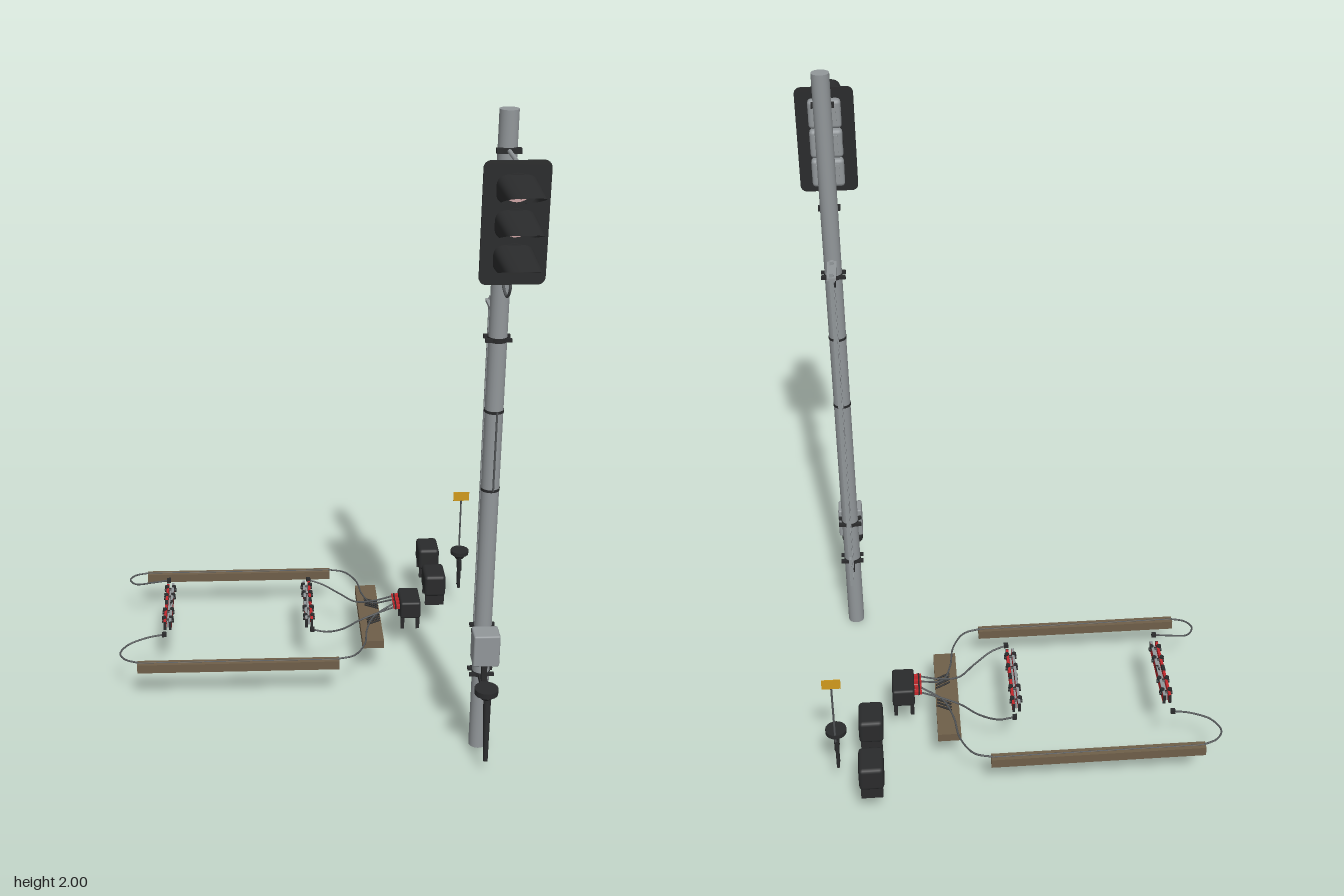
import * as THREE from 'three';
import { RoundedBoxGeometry } from 'three/addons/geometries/RoundedBoxGeometry.js';

const mat = (name, color, extra = {}) => new THREE.MeshStandardMaterial({ name, color, ...extra });
const steel = mat('galvanised steel', 0x92979a);
const dark = mat('dark steel', 0x2a2b2c);
const darkOpen = mat('dark sheet', 0x2a2b2c, { side: THREE.DoubleSide });
const rubber = mat('cable rubber', 0x515456);
const wood = mat('brown timber', 0x6f5f49);
const red = mat('sensor red', 0xc4282c);
const pink = mat('lens pink', 0xcfa5a5);
const yellow = mat('sign yellow', 0xd19a1c);

const V = (p) => new THREE.Vector3(...p);

export function createModel() {
  const root = new THREE.Group();
  const add = (name, geo, m, p = [0, 0, 0], parent = root) => {
    const mesh = new THREE.Mesh(geo, m);
    mesh.name = name;
    mesh.position.set(...p);
    parent.add(mesh);
    return mesh;
  };
  const box = (name, m, size, p, parent) => add(name, new THREE.BoxGeometry(...size), m, p, parent);
  const cyl = (name, m, r, h, p, parent, r2 = r) => add(name, new THREE.CylinderGeometry(r, r2, h, 20), m, p, parent);
  const tube = (name, m, pts, r, seg = 28) =>
    add(name, new THREE.TubeGeometry(new THREE.CatmullRomCurve3(pts.map(V)), seg, r, 8), m);
  // Straight round bar between two points, r at a and r2 at b
  const rod = (name, m, a, b, r, r2 = r) => {
    const d = V(b).sub(V(a));
    const mesh = cyl(name, m, r2, d.length(), V(a).add(V(b)).multiplyScalar(0.5).toArray(), root, r);
    mesh.quaternion.setFromUnitVectors(new THREE.Vector3(0, 1, 0), d.normalize());
    return mesh;
  };
  const PX = 0.524, PZ = 0.306;

  // Pole and its clamp bands
  cyl('pole', steel, 0.027, 2, [PX, 1, PZ]);
  for (const [y, h] of [[1.355, 0.014], [1.137, 0.008], [0.89, 0.008], [0.42, 0.014], [0.265, 0.014]]) {
    cyl('clampBand', dark, 0.0285, h, [PX, y, PZ]);
    if (h > 0.01) {
      box('clampBolt', dark, [0.076, 0.01, 0.014], [PX, y, PZ - 0.018]);
      box('clampBolt', dark, [0.076, 0.01, 0.01], [PX, y, PZ + 0.018]);
    }
  }
  rod('poleCable', rubber, [PX + 0.005, 0.89, PZ + 0.0265], [PX + 0.005, 1.14, PZ + 0.0265], 0.003);

  // Signal backboard with rounded corners
  const w = 0.089, h = 0.167, r = 0.02;
  const s = new THREE.Shape();
  s.absarc(w - r, h - r, r, 0, Math.PI / 2);
  s.absarc(r - w, h - r, r, Math.PI / 2, Math.PI);
  s.absarc(r - w, r - h, r, Math.PI, Math.PI * 1.5);
  s.absarc(w - r, r - h, r, Math.PI * 1.5, Math.PI * 2);
  add('backboard', new THREE.ExtrudeGeometry(s, { depth: 0.006, bevelEnabled: false }), dark, [PX + 0.001, 1.733, 0.468]);

  // Signal units: housing behind, lens and slanted hood in front
  for (const y of [1.825, 1.731, 1.637]) {
    const unit = new THREE.Group();
    unit.name = 'signalUnit';
    unit.position.set(PX + 0.001, y, 0.474);
    root.add(unit);
    add('housing', new RoundedBoxGeometry(0.1, 0.09, 0.036, 2, 0.012), steel, [0, 0, -0.024], unit);
    box('housingDoor', steel, [0.07, 0.06, 0.01], [0, 0, -0.043], unit);
    for (const sx of [-1, 1]) box('latch', dark, [0.006, 0.014, 0.012], [sx * 0.05, 0, -0.026], unit);
    cyl('lensRim', dark, 0.043, 0.006, [0, 0, 0.003], unit).rotation.x = Math.PI / 2;
    // Slightly flattened lens face with a ring of dots
    const face = new THREE.Group();
    face.name = 'lensFace';
    face.scale.y = 0.87;
    unit.add(face);
    const disc = (name, m, radius, x, yy, z) => {
      cyl(name, m, radius, 0.005, [x, yy, z], face).rotation.x = Math.PI / 2;
    };
    disc('lens', pink, 0.038, 0, 0, 0.006);
    for (let i = 0; i < 8; i++) {
      const a = ((i + 0.5) / 8) * Math.PI * 2;
      disc('lensDot', dark, 0.0048, Math.cos(a) * 0.026, Math.sin(a) * 0.026, 0.007);
    }
    disc('lensRing', dark, 0.013, 0, 0, 0.007);
    disc('lensCentre', pink, 0.009, 0, 0, 0.008);
    add('hood', hoodGeometry(), darkOpen, [0, 0, 0], unit);
  }

  // Head brackets and supply cable
  for (const y of [1.893, 1.568]) {
    rod('headBracket', steel, [PX, y, PZ + 0.02], [PX, y, 0.445], 0.006);
    rod('bracketDrop', steel, [PX, y, 0.443], [PX, y + (y > 1.7 ? -0.04 : 0.04), 0.443], 0.005);
    box('bracketClamp', dark, [0.068, 0.014, 0.018], [PX, y, PZ + 0.026]);
  }
  tube('headCable', rubber, [[PX, 1.6, 0.455], [PX, 1.55, 0.46], [PX, 1.515, 0.42], [PX, 1.515, 0.375], [PX, 1.535, 0.325]], 0.004);

  // Ladder
  for (const z of [0.243, 0.16]) box('ladderRail', steel, [0.012, 1.172, 0.011], [PX, 0.846, z]);
  for (let i = 0; i < 11; i++) box('ladderRung', steel, [0.009, 0.008, 0.083], [PX, 0.345 + i * 0.0975, 0.2015]);
  box('ladderTop', steel, [0.028, 0.009, 0.118], [PX, 1.416, 0.206]);
  box('ladderFoot', steel, [0.01, 0.009, 0.094], [PX, 0.263, 0.2015]);
  rod('ladderBrace', steel, [PX, 0.31, 0.243], [PX, 0.263, 0.2], 0.004);
  for (const y of [0.345, 0.378]) box('ladderHook', steel, [0.006, 0.004, 0.02], [PX, y, 0.15]);
  box('ladderHook', steel, [0.006, 0.037, 0.004], [PX, 0.3615, 0.141]);
  for (const y of [1.355, 0.265]) box('ladderBracket', dark, [0.016, 0.013, 0.06], [PX, y, PZ - 0.045]);

  // Control cabinet
  add('cabinet', new RoundedBoxGeometry(0.08, 0.105, 0.066, 1, 0.005), steel, [PX, 0.39, 0.368]);
  box('cabinetPipe', dark, [0.016, 0.075, 0.016], [PX, 0.302, 0.368]);
  box('cabinetPipeArm', dark, [0.024, 0.014, 0.12], [PX, 0.265, 0.37]);

  // Round cable terminal on a tapered spike
  cyl('terminalCap', dark, 0.036, 0.018, [PX, 0.272, 0.427]);
  cyl('terminalBody', dark, 0.03, 0.018, [PX, 0.255, 0.427], root, 0.016);
  rod('terminalSpike', dark, [PX + 0.003, 0.25, 0.43], [PX + 0.003, 0.04, 0.456], 0.012, 0.007);

  // Second terminal with a marker sign
  cyl('terminalCap', dark, 0.032, 0.014, [0.57, 0.24, -0.525]);
  cyl('terminalBody', dark, 0.026, 0.018, [0.57, 0.224, -0.525], root, 0.015);
  for (const z of [-0.511, -0.536]) {
    rod('terminalLeg', dark, [0.57, 0.225, z], [0.57, 0.1, z], 0.005);
    cyl('terminalLegSleeve', dark, 0.0075, 0.04, [0.57, 0.19, z]);
  }
  rod('signRod', rubber, [0.572, 0.22, -0.553], [0.572, 0.43, -0.553], 0.003);
  box('sign', yellow, [0.056, 0.034, 0.002], [0.572, 0.446, -0.553]);

  // Connection box on four legs
  add('connectionBox', new RoundedBoxGeometry(0.07, 0.062, 0.112, 2, 0.008), dark, [0.364, 0.175, -0.276]);
  for (const i of [-1, 1]) for (const j of [-1, 1])
    box('boxLeg', dark, [0.012, 0.055, 0.012], [0.364 + i * 0.026, 0.13, -0.276 + j * 0.043]);

  // Equipment covers standing on full-width end plates
  for (const z of [-0.43, -0.63]) {
    add('equipmentCover', new RoundedBoxGeometry(0.075, 0.08, 0.105, 2, 0.012), dark, [0.467, 0.178, z]);
    for (const j of [-1, 1]) box('coverEndPlate', dark, [0.066, 0.075, 0.012], [0.467, 0.141, z + j * 0.041]);
  }

  // Timbers
  const MZ = -0.275;
  box('crossTimber', wood, [0.072, 0.027, 0.382], [0.226, 0.128, MZ]);

  // Mirrored timbers and cable runs
  for (const m of [-1, 1]) {
    const at = (pts) => pts.map(([x, y, d]) => [x, y, MZ + m * d]);
    const [[tx, ty, tz]] = at([[-0.225, 0.13, 0.304]]);
    box('sideTimber', wood, [0.66, 0.03, 0.029], [tx, ty, tz]);
    rod('timberCable', rubber, [-0.555, 0.145, tz], [0.105, 0.145, tz], 0.002);
    tube('loopCable', rubber, at([[-0.55, 0.146, 0.304], [-0.595, 0.148, 0.285], [-0.614, 0.15, 0.25], [-0.59, 0.155, 0.205], [-0.53, 0.17, 0.188], [-0.47, 0.18, 0.185]]), 0.003);
    tube('outerCable', rubber, at([[0.1, 0.146, 0.304], [0.155, 0.146, 0.285], [0.195, 0.146, 0.215], [0.21, 0.146, 0.12], [0.24, 0.153, 0.045], [0.31, 0.183, 0.013]]), 0.003);
    tube('innerCable', rubber, at([[0.02, 0.18, 0.171], [0.07, 0.165, 0.163], [0.13, 0.15, 0.12], [0.185, 0.147, 0.065], [0.25, 0.163, 0.044], [0.31, 0.183, 0.038]]), 0.003);
    for (const x of [-0.472, 0.022]) box('cablePlug', dark, [0.014, 0.014, 0.012], at([[x, 0.18, x < 0 ? 0.185 : 0.171]])[0]);
    for (const d of [0.013, 0.038]) {
      box('redPlug', red, [0.024, 0.012, 0.011], at([[0.318, 0.184, d]])[0]);
      box('plugCollar', dark, [0.005, 0.014, 0.013], at([[0.314, 0.184, d]])[0]);
    }
    // Fan of cable cleats on the cross timber
    for (let i = 0; i < 4; i++) {
      const [a, b] = at([[0.215, 0.146, 0.045 + i * 0.014], [0.258, 0.146, 0.02 + i * 0.014]]);
      rod('cableCleat', dark, a, b, 0.003);
    }
  }

  // Red rail sensors: outer bar red on top, inner bar capped in steel
  for (const [x, outer] of [[-0.463, -1], [0.013, 1]]) {
    for (const sx of [-1, 1]) {
      const bx = x + sx * 0.009;
      box('sensorBar', red, [0.008, 0.03, 0.262], [bx, 0.181, MZ]);
      box('sensorCentre', dark, [0.01, 0.01, 0.025], [bx, 0.194, MZ]);
      for (const j of [-1, 1]) box('sensorEndCap', dark, [0.009, 0.031, 0.002], [bx, 0.181, MZ + j * 0.132]);
    }
    box('sensorCap', steel, [0.008, 0.003, 0.262], [x - outer * 0.009, 0.1975, MZ]);
    box('sensorSpine', steel, [0.006, 0.02, 0.24], [x, 0.178, MZ]);
    for (const d of [-0.105, -0.05, 0.05, 0.105]) {
      const bolt = cyl('sensorBolt', dark, 0.007, 0.04, [x, 0.186, MZ + d]);
      bolt.rotation.z = Math.PI / 2;
      for (const sx of [-1, 1]) cyl('sensorKnob', dark, 0.007, 0.012, [x + sx * 0.012, 0.196, MZ + d]);
    }
  }
  return root;
}

// Rounded tube cut by a slanting plane: long at the top, nothing at the bottom
function hoodGeometry() {
  const n = 40, pos = [], idx = [];
  const bend = (v) => Math.sign(v) * Math.abs(v) ** 0.58;
  for (let i = 0; i <= n; i++) {
    const a = (i / n) * Math.PI * 2;
    const u = bend(Math.cos(a)), v = bend(Math.sin(a));
    pos.push(0.054 * u, 0.039 * v, 0, 0.05 * u, 0.037 * v - 0.009 * (v + 1) / 2, 0.004 + 0.101 * (v + 1));
    if (i < n) idx.push(2 * i, 2 * i + 2, 2 * i + 1, 2 * i + 1, 2 * i + 2, 2 * i + 3);
  }
  const g = new THREE.BufferGeometry();
  g.setAttribute('position', new THREE.Float32BufferAttribute(pos, 3));
  g.setIndex(idx);
  g.computeVertexNormals();
  return g;
}
